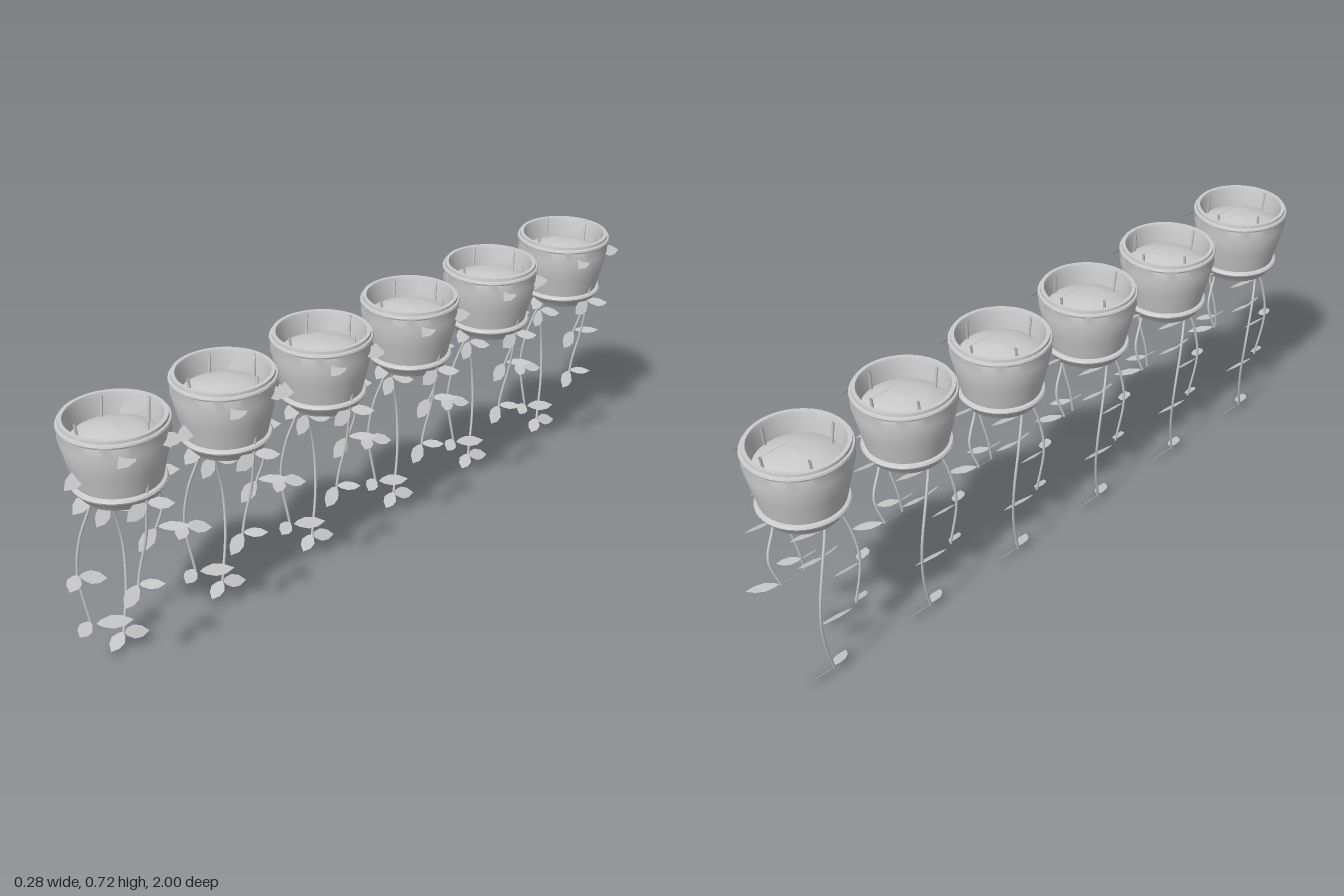
import * as THREE from 'three';
import { toCreasedNormals } from 'three/addons/utils/BufferGeometryUtils.js';

const clay = new THREE.MeshStandardMaterial({ color: 0xcccccc, side: THREE.DoubleSide });
clay.name = 'plain grey';

const POTS = 6, SPACING = 0.33, FIRST_Z = -0.82, POT_X = -0.008;

function lathe(points, segments = 40) {
  return new THREE.LatheGeometry(points.map(([r, y]) => new THREE.Vector2(r, y)), segments);
}

// Outer wall, foot band, rolled rim and inner wall in one profile
const potGeometry = toCreasedNormals(lathe([
  [0, 0.51], [0.098, 0.51], [0.113, 0.534], [0.117, 0.536], [0.119, 0.541], [0.116, 0.546],
  [0.108, 0.548], [0.122, 0.607], [0.136, 0.67], [0.132, 0.695], [0.136, 0.696], [0.138, 0.701],
  [0.136, 0.706], [0.131, 0.707], [0.13, 0.715], [0.12, 0.715], [0.117, 0.705], [0.11, 0.65],
]), 0.6);

// Gently domed earth inside the pot
const soilGeometry = lathe([[0.112, 0.656], [0.085, 0.668], [0.05, 0.676], [0, 0.68]]);

// Trailing stems: [x, y, z] relative to the pot's z
const stemPaths = [
  [[-0.097, 0.72, -0.03], [-0.09, 0.62, -0.015], [-0.086, 0.51, 0], [-0.105, 0.42, -0.03], [-0.115, 0.29, -0.06], [-0.1, 0.165, -0.05], [-0.08, 0.03, -0.015]],
  [[-0.02, 0.722, 0.1], [-0.018, 0.6, 0.085], [-0.022, 0.51, 0.075], [-0.043, 0.4, 0.105], [-0.051, 0.3, 0.118], [-0.035, 0.15, 0.105]],
  [[-0.01, 0.722, -0.105], [0.004, 0.6, -0.085], [0.003, 0.51, -0.085], [-0.01, 0.42, -0.122], [-0.025, 0.34, -0.105]],
  [[0.087, 0.722, -0.03], [0.1, 0.62, -0.015], [0.1, 0.53, 0], [0.085, 0.42, 0], [0.071, 0.31, 0.02], [0.071, 0.245, 0.03]],
];
const stemGeometries = stemPaths.map((path) => new THREE.TubeGeometry(
  new THREE.CatmullRomCurve3(path.map((p) => new THREE.Vector3(...p))), 28, 0.0038, 6));

// Unit leaf along +x, half a unit wide to each side
const leafShape = new THREE.Shape([
  [0, 0], [0.15, 0.28], [0.42, 0.5], [0.72, 0.4], [1, 0],
  [0.72, -0.4], [0.42, -0.5], [0.15, -0.28],
].map(([x, y]) => new THREE.Vector2(x, y)));

function leafGeometry([x0, y0, z0, x1, y1, z1, tilt = 0]) {
  const base = new THREE.Vector3(x0, y0, z0);
  const axis = new THREE.Vector3(x1, y1, z1).sub(base);
  const length = axis.length();
  axis.normalize();
  const normal = new THREE.Vector3(0.55, 0.83, 0);
  if (x1 !== x0) normal.set(y0 - y1, x1 - x0, 0).normalize();
  normal.z = tilt;
  const side = normal.clone().cross(axis).normalize();
  normal.crossVectors(axis, side);
  const frame = new THREE.Matrix4().makeBasis(axis, side, normal).setPosition(base);
  return new THREE.ShapeGeometry(leafShape)
    .scale(length, 0.038, 1).applyMatrix4(frame);
}

// Leaves: base, tip, optional forward tilt
const leafGeometries = [
  // low on the long stem
  [-0.08, 0.035, -0.015, -0.064, 0.014, -0.085, -0.25],
  [-0.08, 0.038, -0.015, -0.045, 0.025, 0.05],
  [-0.095, 0.42, -0.02, -0.065, 0.4, -0.08, -0.15],
  [-0.095, 0.42, -0.02, -0.06, 0.395, 0.045, -0.25],
  [-0.09, 0.5, 0, -0.06, 0.487, -0.09],
  [-0.088, 0.497, 0, -0.06, 0.468, 0.05],
  // front stem
  [-0.036, 0.155, 0.105, -0.012, 0.145, 0.155, -0.3],
  [-0.036, 0.14, 0.09, -0.01, 0.12, -0.005, -0.3],
  [-0.05, 0.296, 0.118, -0.012, 0.286, 0.167, -0.2],
  [-0.05, 0.29, 0.115, -0.025, 0.266, 0.05, -0.3],
  [-0.015, 0.528, 0.08, 0.013, 0.512, 0.15],
  [-0.012, 0.597, 0.09, 0.006, 0.58, 0.162],
  // rear stem
  [-0.025, 0.345, -0.11, 0.018, 0.338, -0.18],
  [-0.025, 0.342, -0.105, 0, 0.317, -0.03],
  [-0.01, 0.527, -0.09, 0.018, 0.511, -0.16],
  [-0.012, 0.597, -0.1, 0.006, 0.58, -0.165],
  // side stem
  [0.071, 0.284, 0.025, 0.108, 0.277, -0.03],
  [0.071, 0.282, 0.025, 0.1, 0.257, 0.09],
  [0.1, 0.52, 0, 0.13, 0.507, -0.06],
  [0.1, 0.52, 0, 0.113, 0.503, 0.07],
  // around the rim and on the soil side
  [0.105, 0.68, 0.015, 0.126, 0.66, 0.09],
  [0.108, 0.679, -0.03, 0.122, 0.665, -0.105],
  [-0.006, 0.72, -0.105, -0.001, 0.716, -0.01, 0.1],
].map(leafGeometry);

function addMesh(parent, geometry, name) {
  const mesh = new THREE.Mesh(geometry, clay);
  mesh.name = name;
  parent.add(mesh);
  return mesh;
}

export function createModel() {
  const model = new THREE.Group();
  model.name = 'rowOfTrailingPlants';
  for (let i = 0; i < POTS; i++) {
    const plant = new THREE.Group();
    plant.name = `pottedPlant${i + 1}`;
    plant.position.z = FIRST_Z + i * SPACING;
    addMesh(plant, potGeometry, 'pot').position.x = POT_X;
    addMesh(plant, soilGeometry, 'soil').position.x = POT_X;
    stemGeometries.forEach((g) => addMesh(plant, g, 'stem'));
    leafGeometries.forEach((g) => addMesh(plant, g, 'leaf'));
    model.add(plant);
  }
  return model;
}
